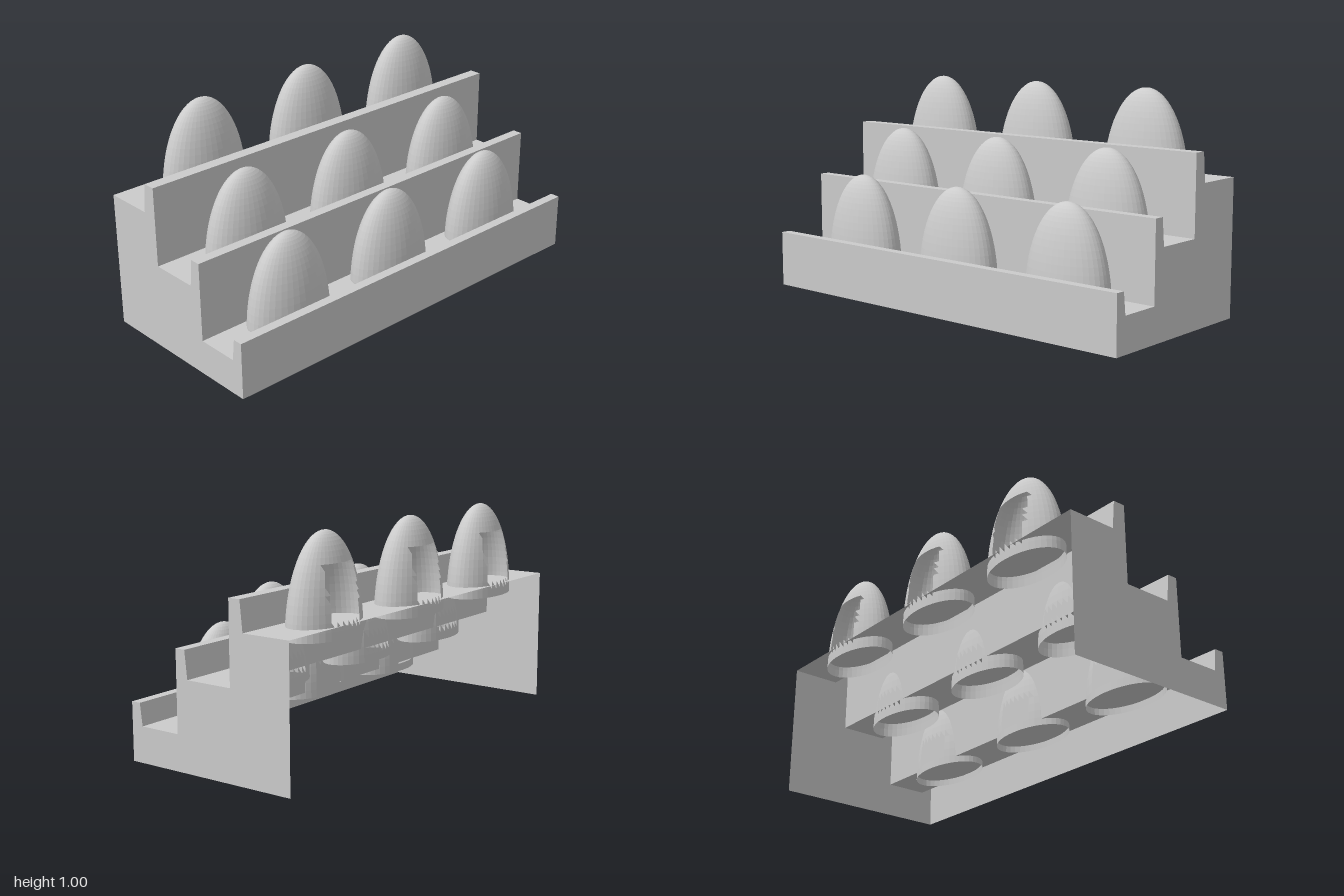
import * as THREE from 'three';

const material = new THREE.MeshStandardMaterial({
  color: 0xcccccc, flatShading: true, side: THREE.DoubleSide,
});

// Stepped side profile as [z, y], from the front foot up to the back edge
const PROFILE = [
  [0.425, 0], [0.425, 0.26], [0.38, 0.26], [0.368, 0.16],
  [0.168, 0.16], [0.168, 0.52], [0.12, 0.52], [0.107, 0.396],
  [-0.12, 0.396], [-0.12, 0.758], [-0.177, 0.758], [-0.19, 0.625],
  [-0.42, 0.625],
];

// One dome row per tier: base height, depth position and back opening (heights above the base)
const ROWS = [
  { y: 0.13, z: 0.25, hole: [0.04, 0.17] },
  { y: 0.33, z: -0.02, hole: [0.05, 0.13] },
  { y: 0.57, z: -0.302, hole: [0.06, 0.31] },
];
const COLUMNS = [-0.6, 0, 0.62];
const DOME = { rx: 0.212, h: 0.43, rz: 0.12 };

function addMesh(parent, name, geometry) {
  const mesh = new THREE.Mesh(geometry, material);
  mesh.name = name;
  parent.add(mesh);
  return mesh;
}

// Folded sheet forming the lips, treads and risers; open at back and bottom
function steppedSheet() {
  const positions = [];
  for (let i = 0; i < PROFILE.length - 1; i++) {
    const [z0, y0] = PROFILE[i];
    const [z1, y1] = PROFILE[i + 1];
    positions.push(-1, y0, z0, 1, y0, z0, 1, y1, z1);
    positions.push(-1, y0, z0, 1, y1, z1, -1, y1, z1);
  }
  const geometry = new THREE.BufferGeometry();
  geometry.setAttribute('position', new THREE.Float32BufferAttribute(positions, 3));
  geometry.computeVertexNormals();
  return geometry;
}

// Flat end panel at x = side, facing outward
function endPanel(side) {
  const outline = [...PROFILE, [-0.42, 0]].map(([z, y]) => new THREE.Vector2(-side * z, y));
  const geometry = new THREE.ShapeGeometry(new THREE.Shape(outline));
  geometry.rotateY(side * Math.PI / 2);
  geometry.translate(side, 0, 0);
  return geometry;
}

// Hollow half ellipsoid with a ragged opening in the back
function domeShell([low, high]) {
  const geometry = new THREE.SphereGeometry(1, 40, 18, 0, Math.PI * 2, 0, Math.PI / 2);
  geometry.scale(DOME.rx, DOME.h, DOME.rz);
  const p = geometry.attributes.position;
  const index = geometry.index.array;
  const kept = [];
  for (let i = 0; i < index.length; i += 3) {
    const tri = [index[i], index[i + 1], index[i + 2]];
    const mean = (get) => tri.reduce((sum, v) => sum + get(v), 0) / 3;
    const x = mean((v) => p.getX(v));
    const y = mean((v) => p.getY(v));
    const z = mean((v) => p.getZ(v));
    const open = z < 0 && Math.abs(x) < 0.1 && y > low && y < high;
    if (!open) kept.push(...tri);
  }
  geometry.setIndex(kept);
  return geometry;
}

export function createModel() {
  const model = new THREE.Group();
  model.name = 'tieredRack';

  // Stand
  const stand = new THREE.Group();
  stand.name = 'stand';
  addMesh(stand, 'steppedSheet', steppedSheet());
  addMesh(stand, 'leftEndPanel', endPanel(1));
  addMesh(stand, 'rightEndPanel', endPanel(-1));
  model.add(stand);

  // Three domes on each tier, sunk a little through the treads and risers
  ROWS.forEach(({ y, z, hole }, r) => {
    const row = new THREE.Group();
    row.name = `domeRow${r + 1}`;
    const shell = domeShell(hole);
    for (const x of COLUMNS) addMesh(row, 'dome', shell).position.set(x, y, z);
    model.add(row);
  });

  return model;
}
